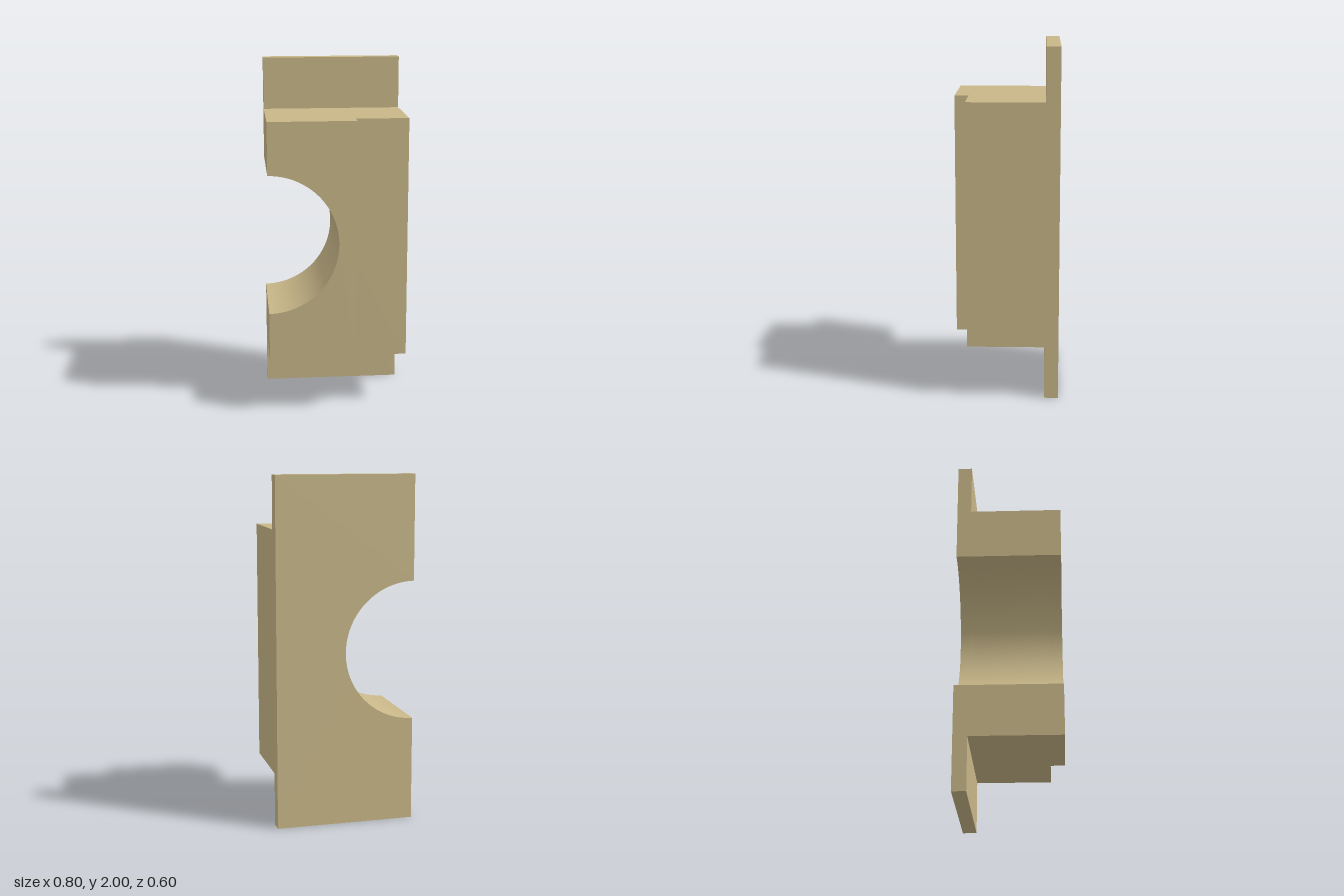
import * as THREE from 'three';
import { toCreasedNormals } from 'three/addons/utils/BufferGeometryUtils.js';

const LEFT = -0.4, BORE_Y = 1, BORE_R = 0.4;

// Rectangular slab with a half-round bore cut into its -x edge
function boredSlab(name, material, right, bottom, top, back, front) {
  const shape = new THREE.Shape();
  shape.moveTo(LEFT, bottom);
  shape.lineTo(right, bottom);
  shape.lineTo(right, top);
  shape.lineTo(LEFT, top);
  shape.lineTo(LEFT, BORE_Y + BORE_R);
  shape.absarc(LEFT, BORE_Y, BORE_R, Math.PI / 2, -Math.PI / 2, true);
  shape.closePath();
  const extruded = new THREE.ExtrudeGeometry(shape, {
    depth: front - back, bevelEnabled: false, curveSegments: 24,
  });
  const geometry = toCreasedNormals(extruded, Math.PI / 6);
  geometry.translate(0, 0, back);
  const mesh = new THREE.Mesh(geometry, material);
  mesh.name = name;
  return mesh;
}

export function createModel() {
  const tan = new THREE.MeshStandardMaterial({ color: 0xc8b788 });
  tan.name = 'tan';

  const model = new THREE.Group();
  model.name = 'bearingBlock';
  model.add(
    // Tall mounting flange at the back
    boredSlab('backFlange', tan, 0.4, 0, 2, -0.3, -0.22),
    // Main block
    boredSlab('body', tan, 0.4, 0.305, 1.7, -0.22, 0.22),
    // Narrower raised face around the bore
    boredSlab('frontFace', tan, 0.1, 0.305, 1.7, 0.22, 0.3),
  );
  return model;
}
